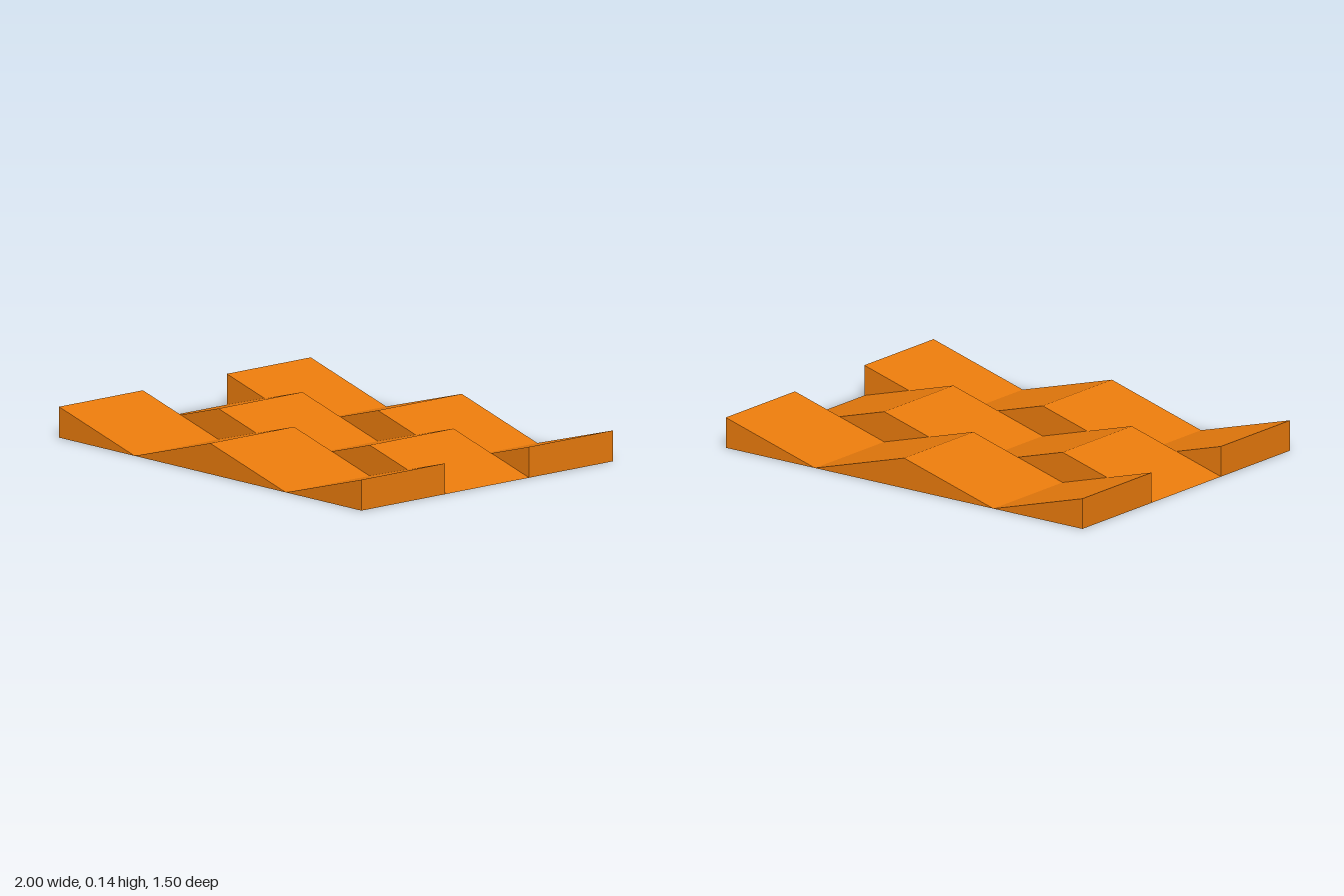
import * as THREE from 'three';

const HEIGHT = 0.14, ROW = 0.5, HALF = 0.5;

// Triangular ridge across x, clipped to the edges of the tile, extruded along z
function ridge(peakX, z, material) {
  const x0 = Math.max(peakX - HALF, -1), x1 = Math.min(peakX + HALF, 1);
  const points = [new THREE.Vector2(x0, 0), new THREE.Vector2(x1, 0), new THREE.Vector2(peakX, HEIGHT)];
  const geometry = new THREE.ExtrudeGeometry(new THREE.Shape(points), { depth: ROW, bevelEnabled: false });
  const mesh = new THREE.Mesh(geometry, material);
  mesh.position.z = z - ROW / 2;
  return mesh;
}

export function createModel() {
  const model = new THREE.Group();
  model.name = 'zigzagTile';
  const material = new THREE.MeshStandardMaterial({ color: 0xe87a0c });

  // Three rows of ridges, the middle one shifted by half a wave
  const outer = [-1, 0, 1], middle = [-0.5, 0.5];
  const rows = [
    ['backRow', -ROW, outer],
    ['middleRow', 0, middle],
    ['frontRow', ROW, outer],
  ];
  for (const [name, z, peaks] of rows) {
    const row = new THREE.Group();
    row.name = name;
    peaks.forEach((x, i) => {
      const mesh = ridge(x, z, material);
      mesh.name = `${name}Ridge${i + 1}`;
      row.add(mesh);
    });
    model.add(row);
  }
  return model;
}
